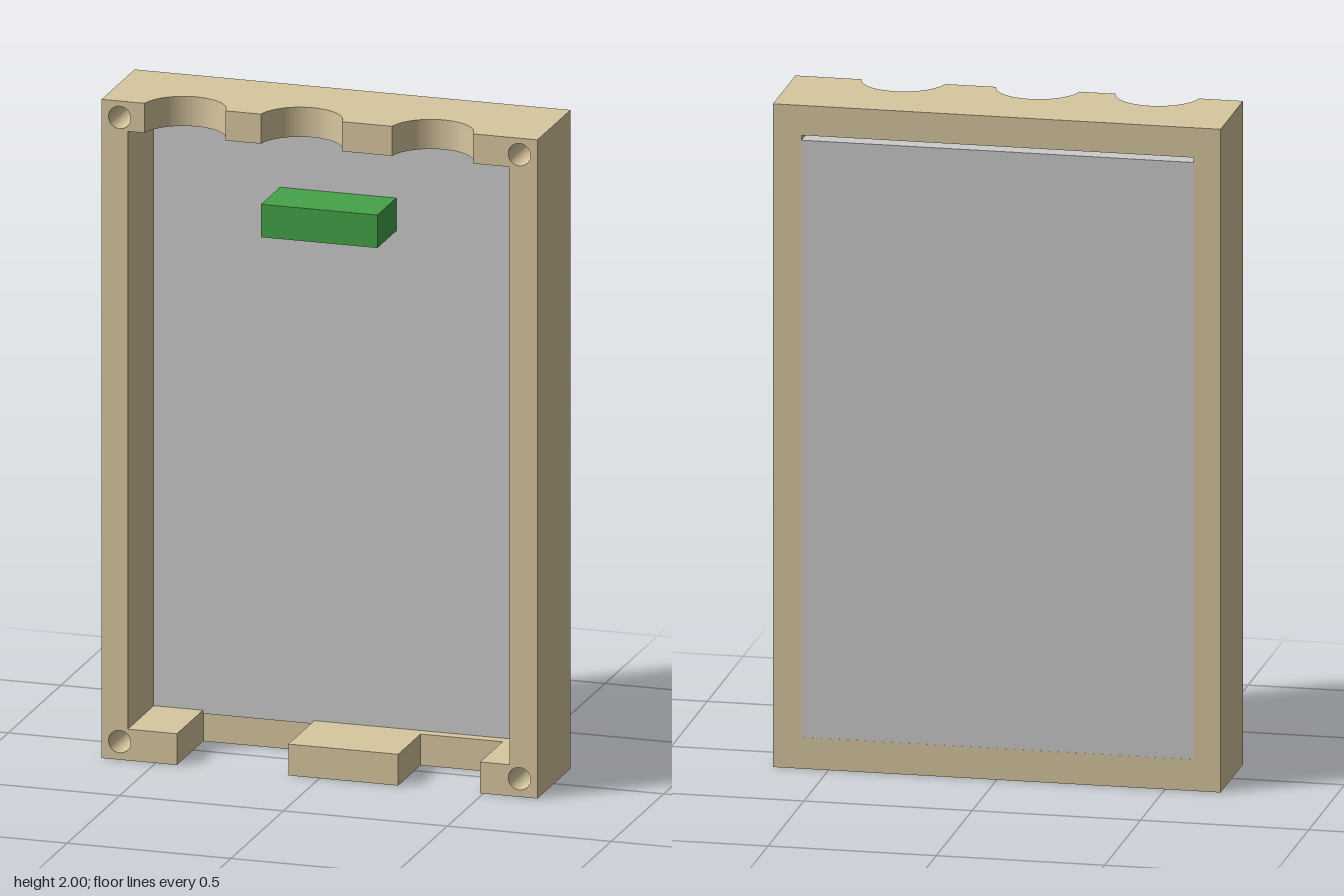
import * as THREE from 'three';

const W = 0.665, H = 2, D = 0.157;          // half width, height, half depth
const IN_L = -0.585, IN_R = 0.58;           // inner faces of the side walls
const SILL = 0.095, HEAD = 1.91;            // opening bottom and top
const PANEL_Z = -0.09, HOLE_Z = -0.056;     // panel front, screw hole floor

const tan = new THREE.MeshStandardMaterial({ color: 0xd8c7a0 });
const grey = new THREE.MeshStandardMaterial({ color: 0xcccccc });
const green = new THREE.MeshStandardMaterial({ color: 0x45a348 });

export function createModel() {
  const group = new THREE.Group();

  const add = (name, geometry, material = tan) => {
    const mesh = new THREE.Mesh(geometry, material);
    mesh.name = name;
    group.add(mesh);
    return mesh;
  };

  // Box given by its minimum and maximum corners
  const box = (name, x0, x1, y0, y1, z0, z1, material) =>
    add(name, new THREE.BoxGeometry(x1 - x0, y1 - y0, z1 - z0), material)
      .position.set((x0 + x1) / 2, (y0 + y1) / 2, (z0 + z1) / 2);

  // Side wall with its top and bottom corner returns and two blind screw holes
  const sideWall = (name, outer, inner, bottomEnd, topEnd) => {
    const outline = () => new THREE.Shape([
      [outer, 0], [bottomEnd, 0], [bottomEnd, SILL], [inner, SILL],
      [inner, HEAD], [topEnd, HEAD], [topEnd, H], [outer, H],
    ].map(([x, y]) => new THREE.Vector2(x, y)));
    const extrude = (part, shape, z0, z1) =>
      add(part, new THREE.ExtrudeGeometry(shape, {
        depth: z1 - z0, bevelEnabled: false, curveSegments: 24,
      })).position.z = z0;

    extrude(name + 'Back', outline(), -D, HOLE_Z);
    const drilled = outline();
    for (const y of [0.055, 1.95]) {
      drilled.holes.push(new THREE.Path().absarc(Math.sign(outer) * 0.61, y, 0.034, 0, Math.PI * 2));
    }
    extrude(name + 'Front', drilled, HOLE_Z, D);
  };
  sideWall('rightWall', -W, IN_L, -0.435, -0.57);
  sideWall('leftWall', W, IN_R, 0.49, 0.57);

  // Top wall with three round scallops in its front edge
  const r = 0.125, cz = 0.175;
  const a = Math.asin((cz - D) / r);
  const top = new THREE.Shape();
  top.moveTo(-0.57, D);
  top.lineTo(-0.57, -D);
  top.lineTo(0.57, -D);
  top.lineTo(0.57, D);
  for (const cx of [0.345, -0.055, -0.41]) {
    top.lineTo(cx + r * Math.cos(a), D);
    top.absarc(cx, cz, r, -a, -Math.PI + a, true);
  }
  top.closePath();
  const topGeometry = new THREE.ExtrudeGeometry(top, {
    depth: H - HEAD, bevelEnabled: false, curveSegments: 16,
  });
  topGeometry.rotateX(Math.PI / 2); // shape y becomes z, depth runs downward
  add('scallopedTopWall', topGeometry).position.y = H;

  // Bottom wall: a full-depth block between two notches
  box('bottomWideNotch', -0.435, -0.095, 0, SILL, -D, -0.094);
  box('bottomBlock', -0.095, 0.24, 0, SILL, -D, D);
  box('bottomNarrowNotch', 0.24, 0.49, 0, SILL, -D, HOLE_Z);

  // Panel flush with the back, leaving a thin slot under the top wall
  box('panel', IN_L, IN_R, 0.085, 1.895, -D + 0.0005, PANEL_Z, grey);
  // Back sill strip covers the sunken lower edge of the panel
  box('connectorBlock', -0.2, 0.155, 1.605, 1.705, PANEL_Z, 0.09, green);

  return group;
}
